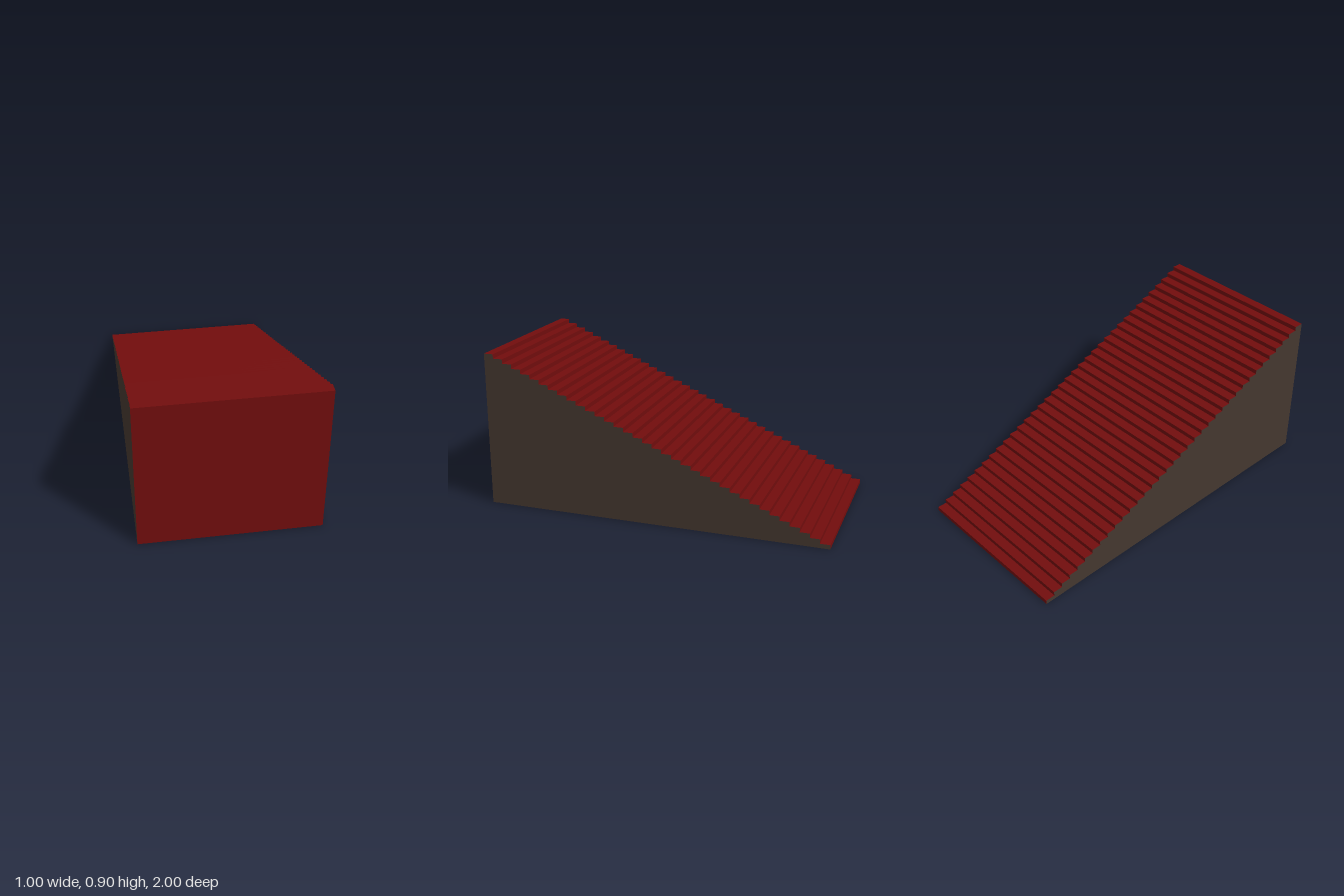
import * as THREE from 'three';

const STEPS = 36, WIDTH = 1, DEPTH = 2, HEIGHT = 0.9;
const RUN = DEPTH / STEPS, RISE = HEIGHT / STEPS;

export function createModel() {
  const group = new THREE.Group();
  const red = new THREE.MeshStandardMaterial({ color: 0x720d0d, side: THREE.DoubleSide });
  red.name = 'darkRed';
  const brown = new THREE.MeshStandardMaterial({ color: 0x44372f, side: THREE.DoubleSide });
  brown.name = 'darkBrown';

  const add = (name, geometry, material, parent = group) => {
    const mesh = new THREE.Mesh(geometry, material);
    mesh.name = name;
    parent.add(mesh);
    return mesh;
  };

  // Stairs rise from the back to the front; each step is a riser and a tread
  const stairs = new THREE.Group();
  stairs.name = 'stairs';
  group.add(stairs);
  const riser = new THREE.PlaneGeometry(WIDTH, RISE).rotateY(Math.PI);
  const tread = new THREE.PlaneGeometry(WIDTH, RUN).rotateX(-Math.PI / 2);
  for (let i = 0; i < STEPS; i++) {
    const z = -DEPTH / 2 + i * RUN;
    add('riser', riser, red, stairs).position.set(0, (i + 0.5) * RISE, z);
    add('tread', tread, red, stairs).position.set(0, (i + 1) * RISE, z + RUN / 2);
  }

  // Tall upright wall under the top step
  add('frontWall', new THREE.PlaneGeometry(WIDTH, HEIGHT), red)
    .position.set(0, HEIGHT / 2, DEPTH / 2);

  // Stepped side walls; the underside stays open
  const profile = new THREE.Shape();
  profile.moveTo(-DEPTH / 2, 0);
  for (let i = 0; i < STEPS; i++) {
    const z = -DEPTH / 2 + i * RUN;
    profile.lineTo(z, (i + 1) * RISE);
    profile.lineTo(z + RUN, (i + 1) * RISE);
  }
  profile.lineTo(DEPTH / 2, 0);
  const wall = new THREE.ShapeGeometry(profile).rotateY(-Math.PI / 2);
  add('rightWall', wall, brown).position.x = -WIDTH / 2;
  add('leftWall', wall, brown).position.x = WIDTH / 2;

  return group;
}
